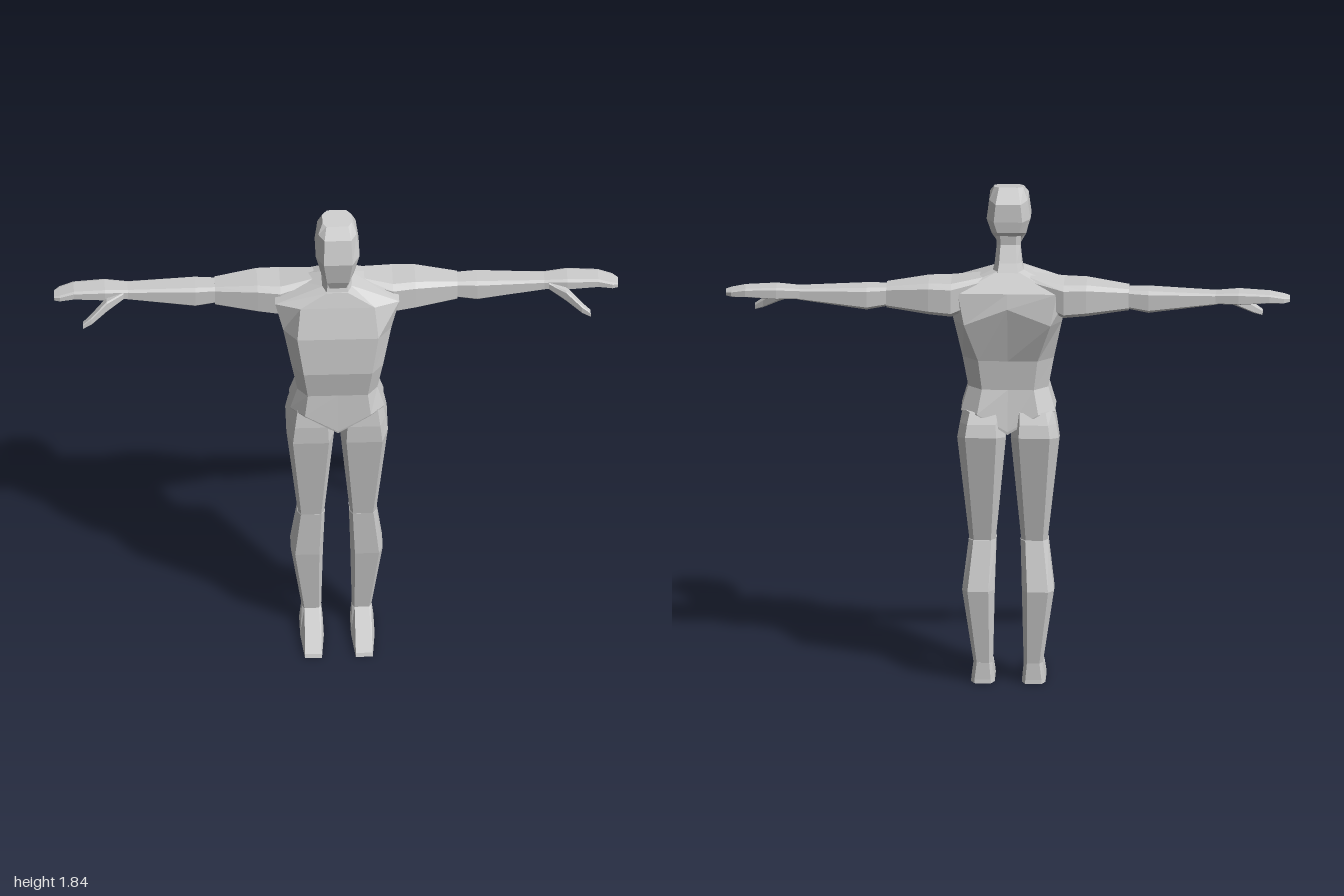
import * as THREE from 'three';

// Skin between rings of equal point count, with both ends capped
function loft(rings) {
  const pos = [];
  const tri = (a, b, c) => pos.push(...a, ...b, ...c);
  const n = rings[0].length;
  const centre = (r) => [0, 1, 2].map((k) => r.reduce((s, p) => s + p[k], 0) / n);
  for (let s = 0; s < rings.length - 1; s++) {
    const a = rings[s], b = rings[s + 1];
    for (let i = 0; i < n; i++) {
      const j = (i + 1) % n;
      tri(a[i], a[j], b[j]);
      tri(a[i], b[j], b[i]);
    }
  }
  const first = rings[0], last = rings[rings.length - 1];
  const c0 = centre(first), c1 = centre(last);
  for (let i = 0; i < n; i++) {
    const j = (i + 1) % n;
    tri(c0, first[j], first[i]);
    tri(c1, last[i], last[j]);
  }
  const g = new THREE.BufferGeometry();
  g.setAttribute('position', new THREE.Float32BufferAttribute(pos, 3));
  g.computeVertexNormals();
  return g;
}

// Mirror rings across x, keeping the faces outward
const mirror = (rings) => rings.map((r) => r.map(([x, y, z]) => [-x, y, z]).reverse());

// Level ring for upright parts; it can tilt front to back and dip at the centre
function levelRing({ x = 0, y, yb = y, w, zf, zb, f = 0.75, b = 0.65, sf = 0.25, sb = 0.25, dipF = 0, dipB = 0 }) {
  const d = zf - zb;
  const half = [[f * w, zf], [w, zf - sf * d], [w, zb + sb * d], [b * w, zb]];
  const at = (px, z, dip = 0) => [x + px, yb + (y - yb) * (z - zb) / d + dip, z];
  return [
    at(0, zf, dipF), ...half.map(([px, z]) => at(px, z)),
    at(0, zb, dipB), ...half.reverse().map(([px, z]) => at(-px, z)),
  ];
}

// Upright ring for arm parts: a rectangle with cut corners
function armRing([x, top, bottom, front, back], k = 0.72) {
  const cy = (top + bottom) / 2, cz = (front + back) / 2;
  const h = (top - bottom) / 2, d = (front - back) / 2;
  return [[1, -k], [1, k], [k, 1], [-k, 1], [-1, k], [-1, -k], [-k, -1], [k, -1]]
    .map(([u, v]) => [x, cy + u * h, cz + v * d]);
}

export function createModel() {
  const model = new THREE.Group();
  const grey = new THREE.MeshStandardMaterial({ color: 0xcccccc, flatShading: true });
  grey.name = 'plain grey';

  const add = (name, rings) => {
    const mesh = new THREE.Mesh(loft(rings), grey);
    mesh.name = name;
    model.add(mesh);
  };
  const addPair = (name, rings) => {
    add('left' + name, rings);
    add('right' + name, mirror(rings));
  };

  // Trunk, with a V-shaped hem and a ridge across the shoulder blades
  add('torso', [
    { y: 1.01, w: 0.165, zf: 0.085, zb: -0.13, f: 0.7, dipF: -0.075, dipB: -0.07 },
    { y: 1.015, w: 0.167, zf: 0.086, zb: -0.13, f: 0.7, dipF: -0.072, dipB: -0.065 },
    { y: 1.1, w: 0.142, zf: 0.08, zb: -0.105 },
    { y: 1.21, w: 0.162, zf: 0.1, zb: -0.115 },
    { y: 1.36, w: 0.192, zf: 0.092, zb: -0.17, dipB: 0.06, b: 0.8 },
    { y: 1.475, w: 0.22, zf: 0.06, zb: -0.16, f: 0.6, b: 0.8, sf: 0.15, sb: 0.1 },
    { y: 1.53, yb: 1.545, w: 0.05, zf: 0.042, zb: -0.11 },
  ].map(levelRing));

  // Neck leans forward into the skull
  add('neck', [
    { y: 1.51, yb: 1.54, w: 0.056, zf: 0.045, zb: -0.118 },
    { y: 1.545, yb: 1.57, w: 0.048, zf: 0.033, zb: -0.1 },
    { y: 1.6, yb: 1.63, w: 0.042, zf: 0.025, zb: -0.072 },
    { y: 1.66, yb: 1.69, w: 0.045, zf: 0.03, zb: -0.078 },
  ].map(levelRing));

  // Faceted head, jaw to crown
  add('head', [
    { y: 1.585, yb: 1.665, w: 0.042, zf: 0.085, zb: -0.078, f: 0.7 },
    { y: 1.62, yb: 1.68, w: 0.06, zf: 0.1, zb: -0.088, f: 0.65 },
    { y: 1.71, yb: 1.72, w: 0.078, zf: 0.116, zb: -0.092, f: 0.65 },
    { y: 1.8, yb: 1.785, w: 0.068, zf: 0.09, zb: -0.09, f: 0.7 },
    { y: 1.822, yb: 1.835, w: 0.052, zf: 0.035, zb: -0.045 },
  ].map(levelRing));

  // Legs
  addPair('Thigh', [
    { x: 0.092, y: 0.515, w: 0.046, zf: 0.02, zb: -0.062 },
    { x: 0.095, y: 0.88, yb: 0.935, w: 0.085, zf: 0.07, zb: -0.155 },
    { x: 0.093, y: 0.95, yb: 0.98, w: 0.078, zf: 0.07, zb: -0.142 },
    { x: 0.088, y: 1.02, w: 0.072, zf: 0.06, zb: -0.12 },
  ].map(levelRing));
  addPair('Calf', [
    { x: 0.088, y: 0.06, w: 0.033, zf: -0.02, zb: -0.085 },
    { x: 0.106, y: 0.34, yb: 0.35, w: 0.057, zf: 0.015, zb: -0.12 },
    { x: 0.092, y: 0.525, w: 0.049, zf: 0.022, zb: -0.068 },
  ].map(levelRing));
  addPair('Foot', [
    { x: 0.09, y: 0, w: 0.042, zf: 0.175, zb: -0.092, f: 0.72, b: 0.7, sf: 0.5, sb: 0.1 },
    { x: 0.09, y: 0.014, w: 0.041, zf: 0.17, zb: -0.09, f: 0.72, b: 0.7, sf: 0.5, sb: 0.1 },
    { x: 0.089, y: 0.075, w: 0.034, zf: -0.018, zb: -0.087 },
  ].map(levelRing));

  // Arms, each section: x, top, bottom, front, back
  const arm = (rows) => rows.map((r) => armRing(r));
  addPair('UpperArm', arm([
    [0.08, 1.525, 1.43, -0.04, -0.13],
    [0.2, 1.507, 1.385, -0.01, -0.17],
    [0.28, 1.507, 1.392, -0.022, -0.165],
    [0.43, 1.488, 1.41, -0.052, -0.138],
  ]));
  addPair('Forearm', arm([
    [0.42, 1.484, 1.416, -0.058, -0.135],
    [0.5, 1.484, 1.403, -0.055, -0.145],
    [0.745, 1.474, 1.435, -0.068, -0.135],
  ]));
  addPair('Hand', arm([
    [0.735, 1.474, 1.437, -0.068, -0.135],
    [0.82, 1.48, 1.437, -0.06, -0.145],
    [0.93, 1.474, 1.443, -0.064, -0.14],
    [0.98, 1.462, 1.44, -0.06, -0.128],
    [1, 1.456, 1.441, -0.066, -0.112],
  ]));
  addPair('Thumb', arm([
    [0.755, 1.47, 1.44, -0.062, -0.1],
    [0.815, 1.452, 1.408, -0.034, -0.07],
    [0.87, 1.405, 1.374, -0.006, -0.036],
    [0.9, 1.381, 1.362, 0, -0.022],
  ]));

  return model;
}
